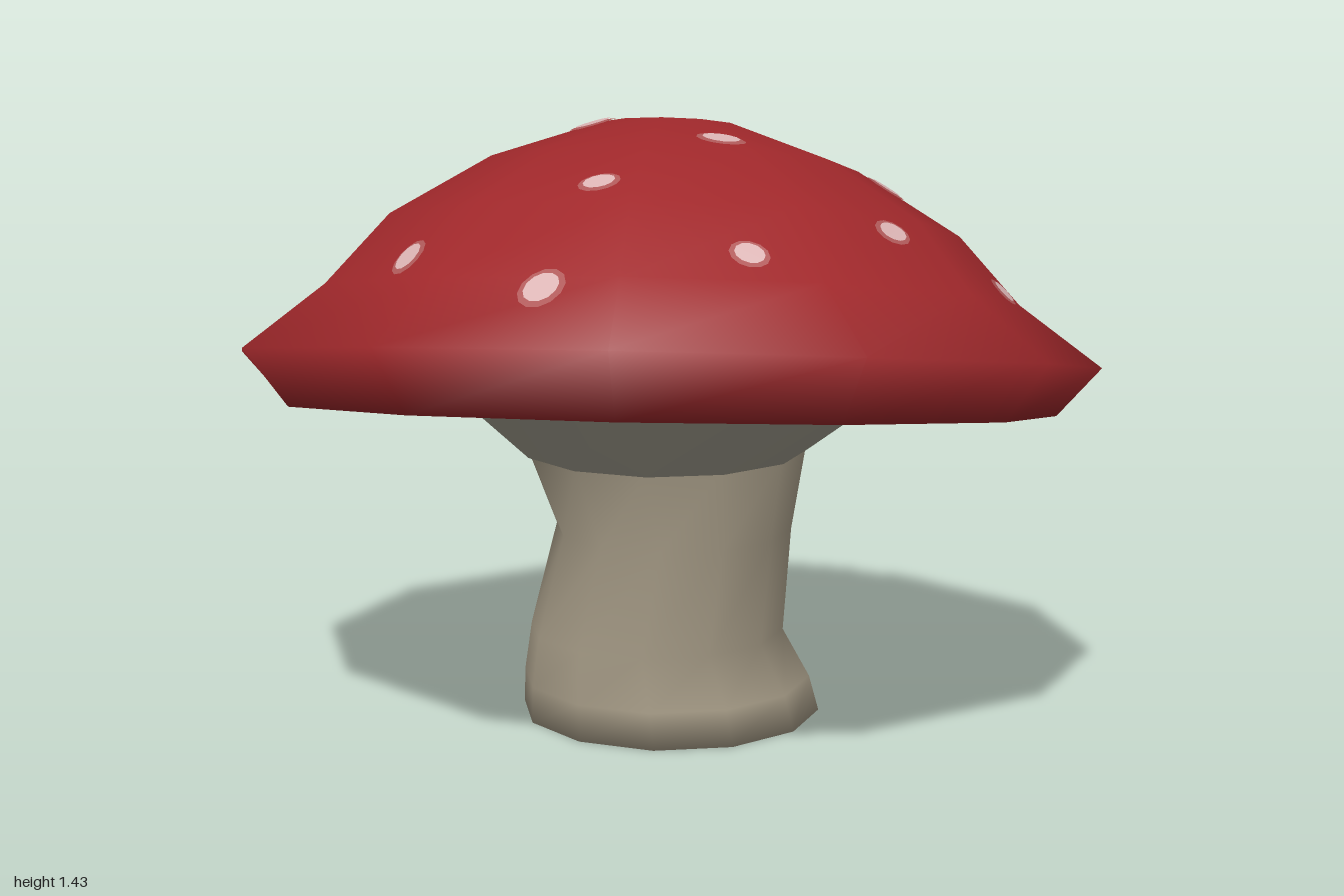
import * as THREE from 'three';

const SIDES = 12;

const mat = (name, color) => {
  const m = new THREE.MeshStandardMaterial({ color });
  m.name = name;
  return m;
};

// Smooth skin through 12-sided rings, listed from bottom to top.
// ring = { x, y, z: centre, rx, rz: radii, slope: rise of y per unit of +z }
function loft(rings) {
  const pos = [], index = [];
  for (const { x = 0, y, z = 0, rx, rz = rx, slope = 0 } of rings) {
    for (let i = 0; i < SIDES; i++) {
      const a = (i / SIDES) * Math.PI * 2;
      const dz = -Math.sin(a) * rz;
      pos.push(x + Math.cos(a) * rx, y + slope * dz, z + dz);
    }
  }
  for (let r = 0; r < rings.length - 1; r++) {
    for (let i = 0; i < SIDES; i++) {
      const j = (i + 1) % SIDES;
      const a = r * SIDES + i, b = r * SIDES + j;
      const c = b + SIDES, d = a + SIDES;
      if (rings[r].rx > 0) index.push(a, b, c);
      else { index.push(a, c, d); continue; }
      if (rings[r + 1].rx > 0) index.push(a, c, d);
    }
  }
  const g = new THREE.BufferGeometry();
  g.setAttribute('position', new THREE.Float32BufferAttribute(pos, 3));
  g.setIndex(index);
  g.computeVertexNormals();
  return g;
}

export function createModel() {
  const group = new THREE.Group();
  const red = mat('cap red', 0xa0282b);
  const cream = mat('stem beige', 0xb0a58f);
  const grey = mat('gill grey', 0xa39f90);
  const pale = mat('spot pale pink', 0xdcb5b5);
  const pink = mat('spot edge pink', 0xb05a5a);

  const add = (name, geometry, material) => {
    const mesh = new THREE.Mesh(geometry, material);
    mesh.name = name;
    group.add(mesh);
    return mesh;
  };

  // Bent stem with a swollen foot
  add('stem', loft([
    { y: 0, z: -0.13, rx: 0 },
    { y: 0, z: -0.13, rx: 0.25 },
    { y: 0, z: -0.13, rx: 0.357, rz: 0.36 },
    { x: -0.008, y: 0.09, z: -0.11, rx: 0.343, rz: 0.345 },
    { x: -0.025, y: 0.22, z: -0.053, rx: 0.3, rz: 0.297 },
    { x: 0.022, y: 0.48, z: 0.01, rx: 0.275, rz: 0.28 },
    { y: 0.68, z: 0.012, rx: 0.33, rz: 0.342 },
  ]), cream);

  // Flared collar under the cap
  add('collar', loft([
    { y: 0.67, z: 0.012, rx: 0.32, rz: 0.33 },
    { y: 0.67, z: 0.012, rx: 0.335, rz: 0.347 },
    { y: 0.835, z: 0.02, rx: 0.56, rz: 0.55, slope: 0.15 },
  ]), grey);

  // Tilted cap: hollow underside, lip, rim, then the dome
  const cap = add('cap', loft([
    { y: 0.84, z: 0.02, rx: 0.48, slope: 0.15 },
    { y: 0.757, rx: 0.9, rz: 0.885, slope: 0.16 },
    { y: 0.87, rx: 1, rz: 0.98, slope: 0.194 },
    { y: 1.01, z: -0.01, rx: 0.81, slope: 0.21 },
    { y: 1.157, z: -0.065, rx: 0.672, slope: 0.233 },
    { y: 1.3, z: -0.095, rx: 0.437, slope: 0.23 },
    { y: 1.397, z: -0.11, rx: 0.17, slope: 0.22 },
    { y: 1.415, z: -0.11, rx: 0 },
  ]), red);
  cap.updateMatrixWorld();

  // Thin spots laid on the dome: x, z, radius in x, radius in z, turn
  const spots = [
    [-0.5, -0.56, 0.035, 0.022, 0.7], [-0.2, -0.52, 0.04, 0.022, -0.1],
    [0.16, -0.72, 0.042, 0.022, -0.2], [0.57, -0.39, 0.045, 0.03, -0.6],
    [-0.36, -0.29, 0.052, 0.045, 0.3], [0.18, -0.32, 0.052, 0.055, 0],
    [-0.67, -0.2, 0.02, 0.045, -0.3], [-0.16, 0.02, 0.057, 0.042, 0.7],
    [0.5, -0.04, 0.042, 0.05, 0], [-0.54, 0.13, 0.034, 0.052, 0],
    [0.77, 0.06, 0.028, 0.042, -0.2], [0.15, 0.23, 0.058, 0.045, -0.4],
    [0.53, 0.38, 0.045, 0.028, 0.8], [-0.48, 0.55, 0.036, 0.047, 0.2],
    [-0.08, 0.51, 0.046, 0.04, 0], [0.25, 0.67, 0.043, 0.032, 0.1],
    [-0.16, 0.79, 0.05, 0.048, 0],
  ];
  const ray = new THREE.Raycaster();
  const down = new THREE.Vector3(0, -1, 0);
  const layOnCap = ([x, z, rx, rz, turn], size, lift) => {
    const g = new THREE.RingGeometry(0.001, 1, 12, 3);
    g.rotateX(-Math.PI / 2).scale(rx * size, 1, rz * size).rotateY(turn).translate(x, 0, z);
    const p = g.attributes.position;
    for (let i = 0; i < p.count; i++) {
      ray.set(new THREE.Vector3(p.getX(i), 3, p.getZ(i)), down);
      const hit = ray.intersectObject(cap)[0];
      if (!hit) continue;
      const v = hit.point.addScaledVector(hit.face.normal, lift);
      p.setXYZ(i, v.x, v.y, v.z);
    }
    g.computeVertexNormals();
    return g;
  };
  for (const spot of spots) {
    add('spotEdge', layOnCap(spot, 1, 0.004), pink);
    add('spot', layOnCap(spot, 0.75, 0.007), pale);
  }
  return group;
}
